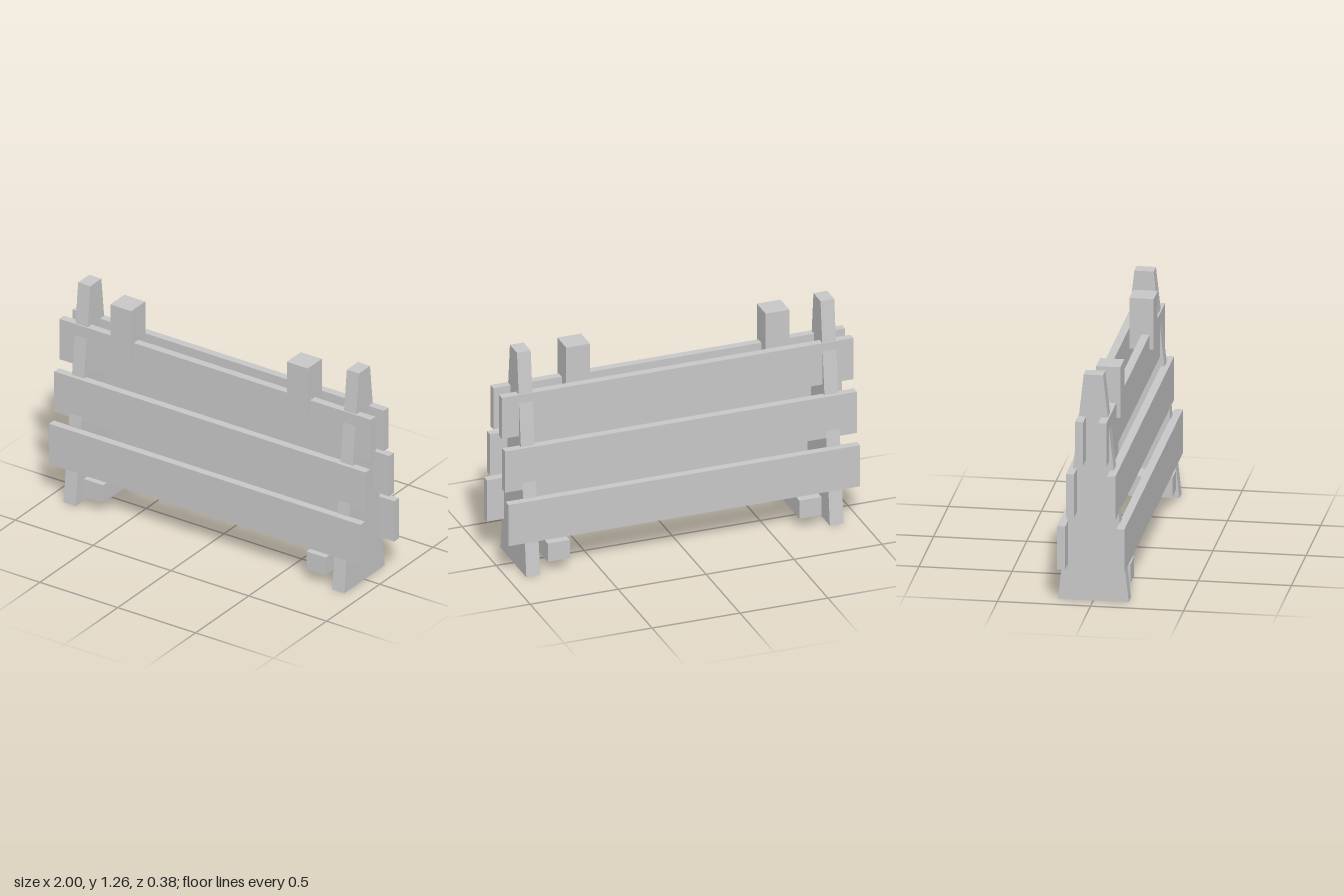
import * as THREE from 'three';

export function createModel() {
  const group = new THREE.Group();
  const wood = new THREE.MeshStandardMaterial({ color: 0xc8c8c8 });
  wood.name = 'light grey wood';

  const add = (name, geometry, x, y, z) => {
    const mesh = new THREE.Mesh(geometry, wood);
    mesh.name = name;
    mesh.position.set(x, y, z);
    group.add(mesh);
  };

  // Box given by its limits along each axis
  const box = (name, x0, x1, y0, y1, z0, z1) =>
    add(name, new THREE.BoxGeometry(x1 - x0, y1 - y0, z1 - z0),
      (x0 + x1) / 2, (y0 + y1) / 2, (z0 + z1) / 2);

  // Tapered end supports
  const profile = new THREE.Shape([
    new THREE.Vector2(-0.19, 0), new THREE.Vector2(0.19, 0),
    new THREE.Vector2(0.052, 1.263), new THREE.Vector2(-0.052, 1.263),
  ]);
  const thickness = 0.078;
  const support = new THREE.ExtrudeGeometry(profile, { depth: thickness, bevelEnabled: false });
  support.translate(0, 0, -thickness / 2).rotateY(Math.PI / 2);
  add('leftSupport', support, 0.863, 0, 0);
  add('rightSupport', support, -0.863, 0, 0);

  // Three planks on each face, stepping inward with height
  const rows = [['lower', 0.196, 0.138], ['middle', 0.49, 0.09], ['upper', 0.785, 0.041]];
  for (const [row, y, z] of rows) {
    box(`${row}FrontPlank`, -1, 1, y, y + 0.243, z, z + 0.044);
    box(`${row}BackPlank`, -1, 1, y, y + 0.243, -z - 0.042, -z + 0.002);
  }

  // Short posts at the top
  box('rightPost', -0.658, -0.523, 0.945, 1.229, -0.024, 0.107);
  box('leftPost', 0.476, 0.611, 0.945, 1.229, -0.024, 0.107);

  // Cross bars near the ground
  box('rightCrossBar', -0.78, -0.655, 0.065, 0.172, -0.18, 0.18);
  box('leftCrossBar', 0.651, 0.776, 0.065, 0.172, -0.18, 0.18);

  return group;
}
